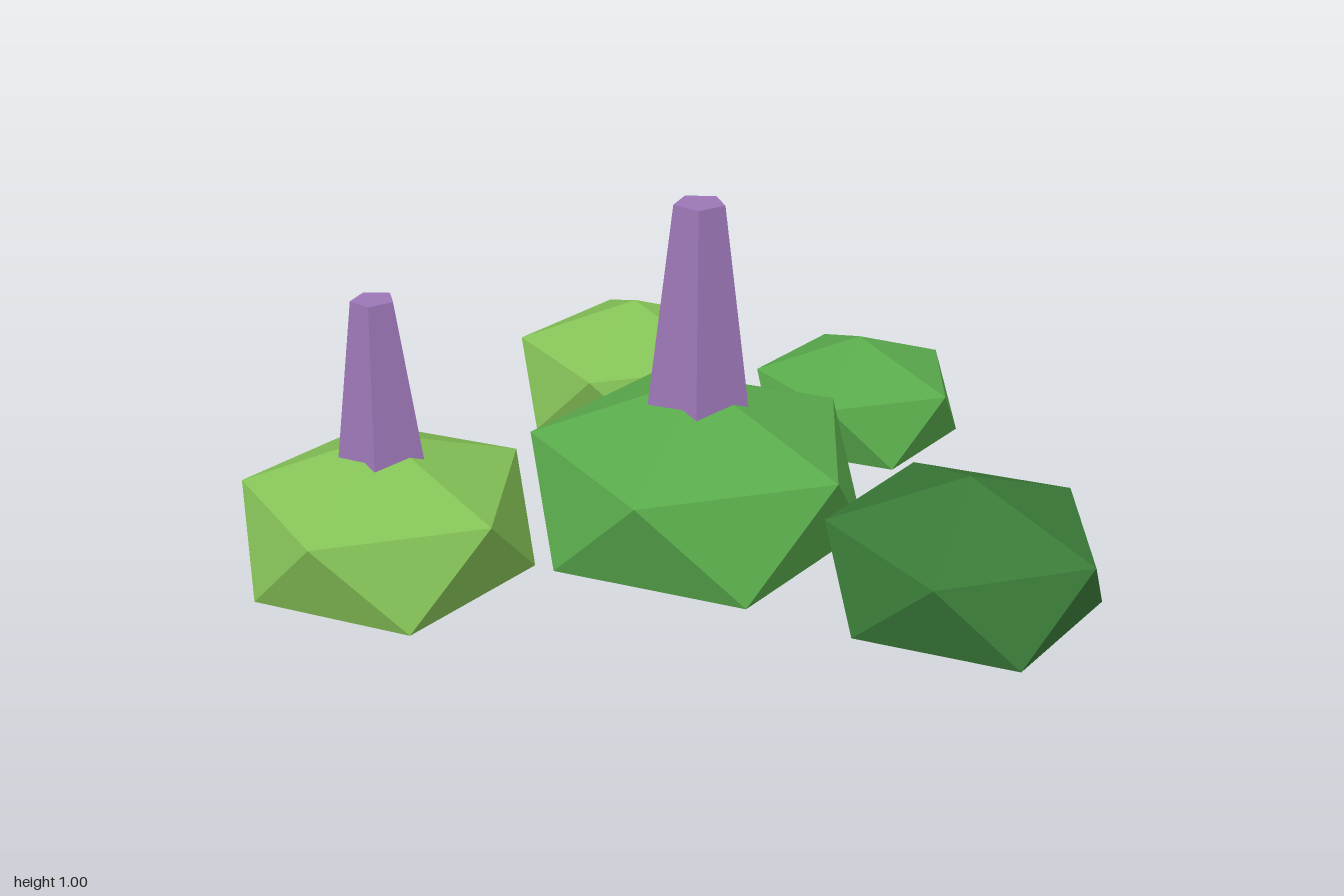
import * as THREE from 'three';

const material = (name, color) => {
  const m = new THREE.MeshStandardMaterial({ color, flatShading: true });
  m.name = name;
  return m;
};

export function createModel() {
  const group = new THREE.Group();
  const lime = material('lime green', 0x85c257);
  const leaf = material('leaf green', 0x5aab4c);
  const forest = material('forest green', 0x3a7a38);
  const purple = material('purple', 0x9c76b6);

  // Squashed icosahedron standing on a corner, with one upper-ring corner towards -x
  const bush = (name, mat, x, z, ringRadius) => {
    const radius = ringRadius * Math.sqrt(5) / 2;
    const geo = new THREE.IcosahedronGeometry(radius, 0);
    geo.rotateZ(Math.atan2(2, 1 + Math.sqrt(5)));
    geo.scale(1, 0.605, 1);
    const mesh = new THREE.Mesh(geo, mat);
    mesh.name = name;
    mesh.position.set(x, 0.28, z);
    group.add(mesh);
  };

  // Tapered five-sided flower spike, sunk into its bush
  const spike = (name, x, z, topRadius, bottomRadius, bottom, top) => {
    const geo = new THREE.CylinderGeometry(topRadius, bottomRadius, top - bottom, 5);
    const mesh = new THREE.Mesh(geo, purple);
    mesh.name = name;
    mesh.position.set(x, (top + bottom) / 2, z);
    group.add(mesh);
  };

  bush('centreBush', leaf, 0.06, 0.152, 0.412);
  bush('rightFrontBush', lime, -0.657, 0.406, 0.342);
  bush('backBush', lime, -0.145, -0.515, 0.32);
  bush('leftFrontBush', forest, 0.678, 0.513, 0.318);
  bush('leftBackBush', leaf, 0.47, -0.362, 0.273);

  spike('tallFlowerSpike', 0.06, 0.152, 0.063, 0.134, 0.45, 1.0);
  spike('shortFlowerSpike', -0.657, 0.406, 0.051, 0.111, 0.42, 0.845);
  return group;
}
